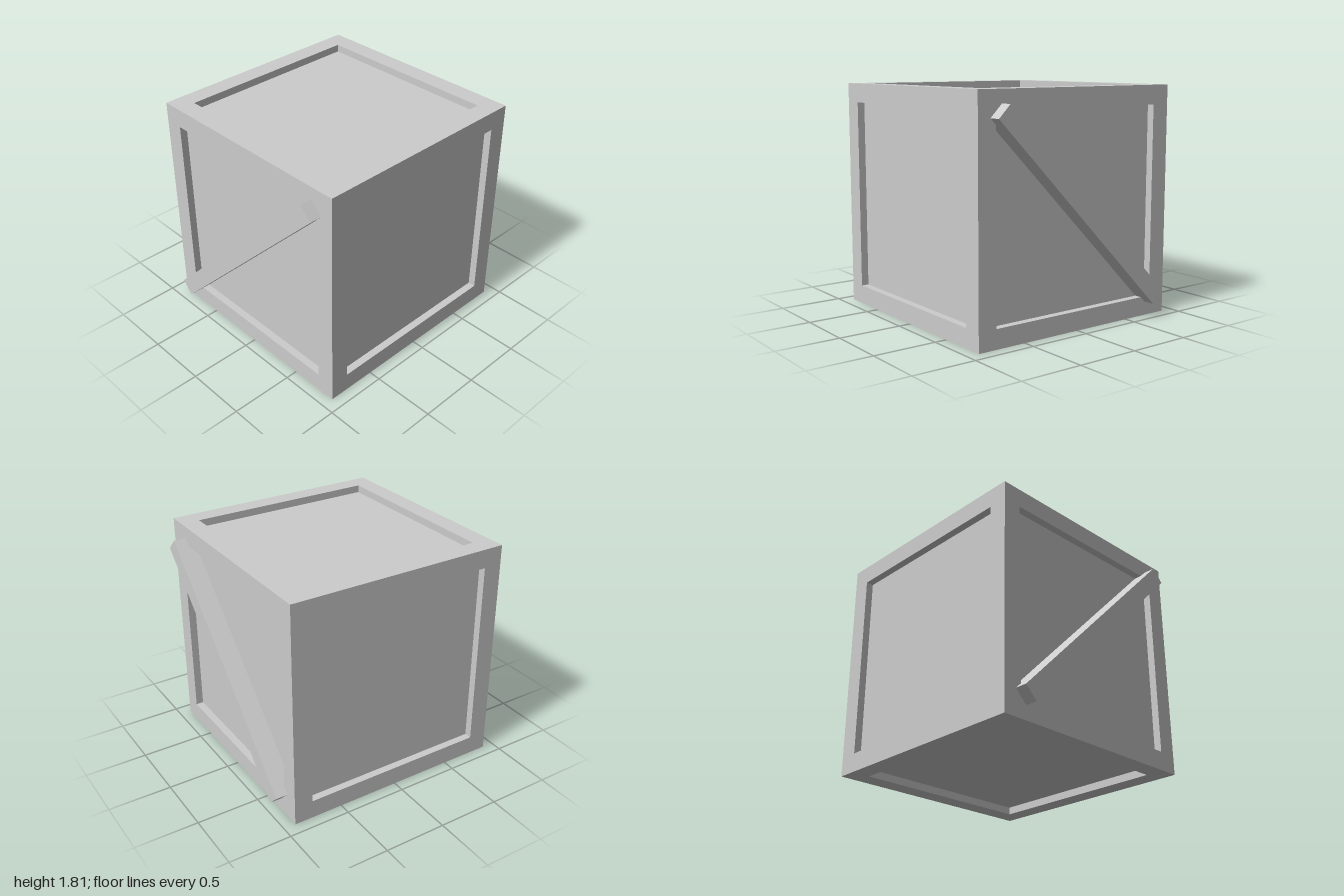
import * as THREE from 'three';

const HALF = 0.905;    // half the crate's edge
const OPENING = 0.755; // half the recessed opening
const FLOOR = 0.845;   // distance of each panel from the centre

export function createModel() {
  const crate = new THREE.Group();
  crate.name = 'crate';
  const grey = new THREE.MeshStandardMaterial({ color: 0xcccccc });
  grey.name = 'grey';

  // One face: flat frame, recess walls and sunken panel, as a four-sided lathe
  const profile = [[HALF, HALF], [OPENING, HALF], [OPENING, FLOOR], [0, FLOOR]]
    .map(([r, y]) => new THREE.Vector2(r * Math.SQRT2, y));
  const face = new THREE.LatheGeometry(profile, 4).rotateY(Math.PI / 4).toNonIndexed();
  face.computeVertexNormals();

  const quarter = Math.PI / 2;
  const sides = {
    topFace: [0, 0], bottomFace: [Math.PI, 0],
    frontFace: [quarter, 0], backFace: [-quarter, 0],
    leftFace: [0, -quarter], rightFace: [0, quarter],
  };
  for (const [name, [rx, rz]] of Object.entries(sides)) {
    const mesh = new THREE.Mesh(face, grey);
    mesh.name = name;
    mesh.rotation.set(rx, 0, rz);
    mesh.position.y = HALF;
    crate.add(mesh);
  }

  // Diagonal braces on front and back, both rising towards +x
  const brace = new THREE.BoxGeometry(2.13, 0.136, 0.17);
  for (const [name, side] of [['frontBrace', 1], ['backBrace', -1]]) {
    const mesh = new THREE.Mesh(brace, grey);
    mesh.name = name;
    mesh.rotation.z = Math.PI / 4;
    mesh.position.set(0, 0.91, side * 0.915);
    crate.add(mesh);
  }
  return crate;
}
